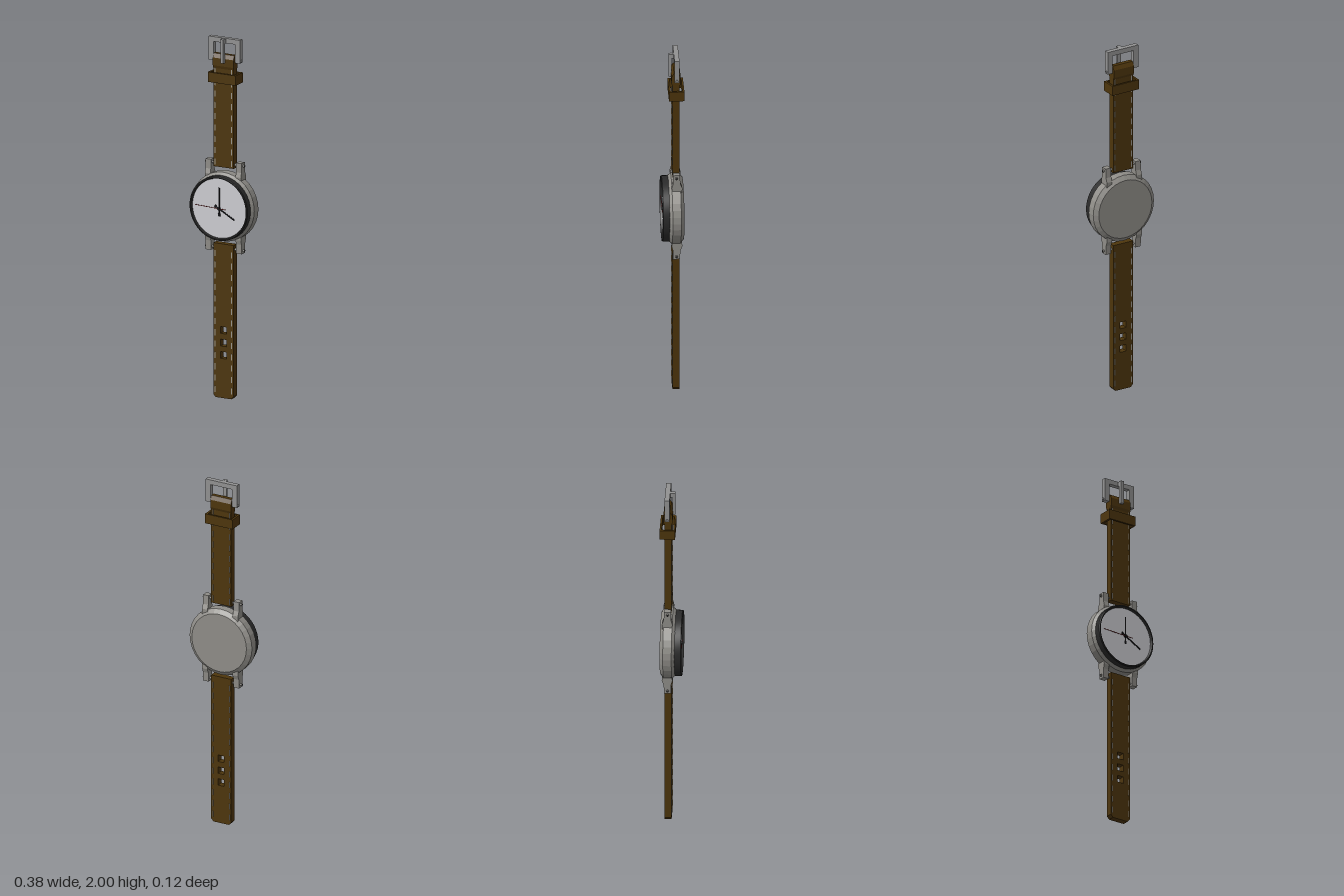
import * as THREE from 'three';
import { toCreasedNormals } from 'three/addons/utils/BufferGeometryUtils.js';

const mat = (name, color) => {
  const m = new THREE.MeshStandardMaterial({ color });
  m.name = name;
  return m;
};

export function createModel() {
  const steel = mat('caseSteel', 0x8f8d88);
  const buckleSteel = mat('buckleSteel', 0x929292);
  const black = mat('black', 0x2a2a2a);
  const handBlack = mat('handBlack', 0x111114);
  const white = mat('dialWhite', 0xcdcdd2);
  const leather = mat('leather', 0x4d350c);
  const thread = mat('thread', 0x9a968c);
  const red = mat('red', 0x8a1f1f);

  const root = new THREE.Group();
  root.name = 'wristwatch';
  const CY = 1.066; // centre height of the case

  const add = (name, geo, material, x = 0, y = 0, z = 0, parent = root) => {
    const m = new THREE.Mesh(geo, material);
    m.name = name;
    m.position.set(x, y, z);
    parent.add(m);
    return m;
  };
  const box = (name, w, h, d, material, x, y, z, parent) =>
    add(name, new THREE.BoxGeometry(w, h, d), material, x, y, z, parent);
  const polygon = (pts) => new THREE.Shape(pts.map((p) => new THREE.Vector2(...p)));
  const rectPath = (x0, y0, x1, y1) =>
    new THREE.Path([[x0, y0], [x1, y0], [x1, y1], [x0, y1]].map((p) => new THREE.Vector2(...p)));
  const extrude = (shape, depth) =>
    new THREE.ExtrudeGeometry(shape, { depth, bevelEnabled: false });
  // Extrudes a (z, y) outline along x, centred on x = 0
  const sideExtrude = (pts, width) =>
    extrude(polygon(pts.map(([z, y]) => [-z, y])), width).translate(0, 0, -width / 2).rotateY(Math.PI / 2);
  // Turns a (radius, z) profile around the z axis
  const turned = (pts, segments, crease) =>
    toCreasedNormals(
      new THREE.LatheGeometry(pts.map((p) => new THREE.Vector2(...p)), segments).rotateX(Math.PI / 2), crease);

  // Faceted case, black bezel and dial
  add('case', turned([[0, -0.057], [0.168, -0.057], [0.192, -0.039], [0.192, 0.007],
    [0.178, 0.023], [0, 0.023]], 32, 0.1), steel, 0, CY);
  add('bezel', turned([[0.168, 0.02], [0.178, 0.022], [0.178, 0.056], [0.175, 0.06],
    [0.169, 0.06], [0.164, 0.045]], 64, 0.5), black, 0, CY);
  add('dial', new THREE.CircleGeometry(0.166, 64), white, 0, CY, 0.047);

  // Hands: angle measured from +x, with a short tail behind the hub
  const hand = (name, angle, length, tail, width, z, material) => {
    const g = new THREE.Group();
    g.name = name;
    g.position.set(0, CY, z);
    g.rotation.z = angle;
    root.add(g);
    box(name + 'Blade', length + tail, width, 0.002, material, (length - tail) / 2, 0, 0, g);
    return g;
  };
  const minute = hand('minuteHand', Math.PI / 2, 0.115, 0.045, 0.007, 0.05, handBlack);
  const hour = hand('hourHand', -0.51, 0.108, 0.03, 0.008, 0.053, handBlack);
  box('minuteTail', 0.016, 0.014, 0.002, handBlack, -0.035, 0, 0, minute);
  box('hourTail', 0.014, 0.014, 0.002, handBlack, -0.023, 0, 0, hour);
  hand('secondHand', Math.PI - 0.04, 0.145, 0.042, 0.003, 0.056, red);
  add('handHub', new THREE.CylinderGeometry(0.008, 0.008, 0.012, 16).rotateX(Math.PI / 2), handBlack, 0, CY, 0.052);

  // Four tapered lugs with their pins
  for (const sy of [1, -1]) {
    const outline = [[-0.046, 0.125], [0.006, 0.125], [0.009, 0.175], [0.002, 0.2],
      [0.001, 0.252], [-0.035, 0.252], [-0.038, 0.2], [-0.048, 0.175]].map(([z, y]) => [z, y * sy]);
    for (const sx of [1, -1]) {
      add('lug', sideExtrude(outline, 0.033), steel, sx * 0.094, CY);
      add('lugPin', new THREE.CylinderGeometry(0.007, 0.007, 0.058, 10).rotateZ(Math.PI / 2),
        steel, sx * 0.09, CY + sy * 0.235, -0.017);
      add('pinHead', new THREE.CylinderGeometry(0.005, 0.005, 0.002, 10).rotateZ(Math.PI / 2),
        black, sx * 0.12, CY + sy * 0.235, -0.017);
    }
  }

  // Straps
  const W = 0.062, Z0 = -0.035, DEPTH = 0.037;
  const lower = polygon([[-W + 0.014, 0], [W - 0.014, 0], [W, 0.016], [W, 0.857], [-W, 0.857], [-W, 0.016]]);
  for (const y of [0.238, 0.307, 0.377]) lower.holes.push(rectPath(-0.019, y - 0.019, 0.019, y + 0.019));
  add('lowerStrap', extrude(lower, DEPTH), leather, 0, 0, Z0);
  box('upperStrap', W * 2, 0.59, DEPTH, leather, 0, 1.578, Z0 + DEPTH / 2);
  add('strapFold', sideExtrude([[-0.035, 1.83], [0.002, 1.83], [0.007, 1.845], [0.007, 1.888],
    [-0.006, 1.91], [-0.029, 1.91], [-0.042, 1.888], [-0.042, 1.845]], 0.126), leather);

  // Stitching along both edges, on both faces
  const stitches = (from, to) => {
    for (let y = from; y < to; y += 0.063)
      for (const x of [-0.051, 0.051])
        for (const z of [Z0, Z0 + DEPTH]) box('stitch', 0.005, 0.034, 0.003, thread, x, y, z);
  };
  stitches(0.045, 0.85);
  stitches(1.31, 1.83);

  // Strap keeper: a hollow band around the strap
  const keeper = polygon([[-0.085, -0.022], [0.085, -0.022], [0.085, 0.061], [-0.085, 0.061]]);
  keeper.holes.push(rectPath(-0.073, -0.012, 0.073, 0.051));
  add('keeper', extrude(keeper, 0.055).rotateX(-Math.PI / 2), leather, 0, 1.753);

  // Buckle frame, pivot and prong
  add('buckleFrame', extrude(polygon([[-0.096, 1.87], [-0.066, 1.87], [-0.066, 1.973], [0.066, 1.973],
    [0.066, 1.87], [0.096, 1.87], [0.096, 2], [-0.096, 2]]), 0.027), buckleSteel, 0, 0, -0.034);
  add('bucklePin', new THREE.CylinderGeometry(0.007, 0.007, 0.202, 10).rotateZ(Math.PI / 2),
    buckleSteel, 0, 1.88, -0.02);
  add('prong', extrude(polygon([[-0.012, 0.004], [0.012, 0.004], [0.009, 0.021], [-0.009, 0.021]]), 0.132)
    .rotateX(Math.PI / 2), buckleSteel, 0, 1.998);
  box('prongTip', 0.02, 0.025, 0.014, buckleSteel, 0, 1.985, -0.001);

  return root;
}
